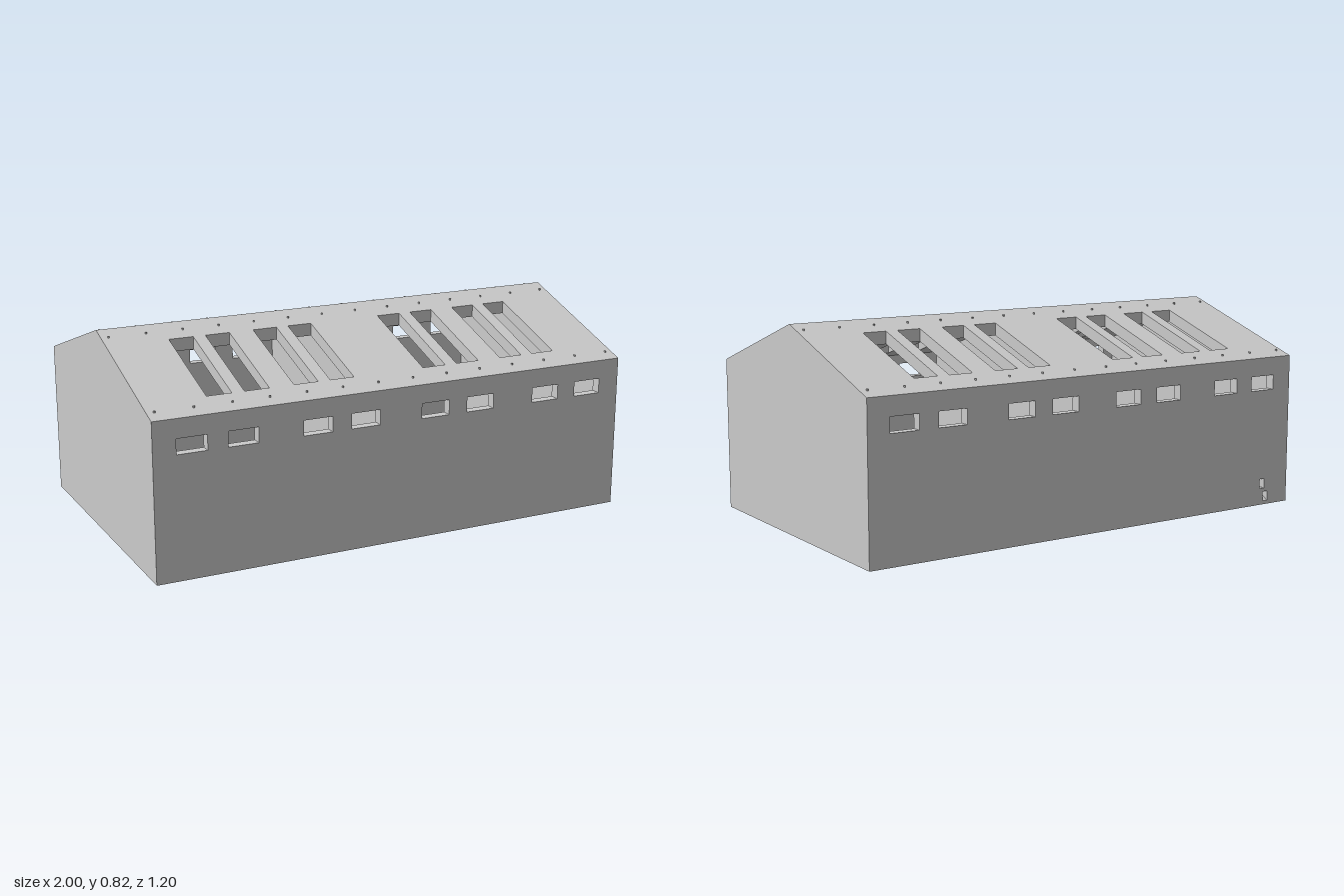
import * as THREE from 'three';

const HALF_X = 1, HALF_Z = 0.6, EAVES = 0.62, RIDGE = 0.82;
const WALL = 0.04, ROOF = 0.05;
const roofY = z => RIDGE - (RIDGE - EAVES) * Math.abs(z) / HALF_Z;
const clamp = THREE.MathUtils.clamp;

function polygon(points) {
  return new THREE.Shape(points.map(p => new THREE.Vector2(p[0], p[1])));
}

function rect(x0, y0, x1, y1) {
  return polygon([[x0, y0], [x1, y0], [x1, y1], [x0, y1]]);
}

// Panel with openings: outer corners lie on the shell, inner ones are mitred to the inside
function panel(shape, holes, place) {
  shape.holes = holes;
  const geo = new THREE.ExtrudeGeometry(shape, { depth: 1, bevelEnabled: false });
  const pos = geo.attributes.position;
  for (let i = 0; i < pos.count; i++) {
    let [x, y, z] = place(pos.getX(i), pos.getY(i));
    if (pos.getZ(i) < 0.5) {
      x = clamp(x, -HALF_X + WALL, HALF_X - WALL);
      z = clamp(z, -HALF_Z + WALL, HALF_Z - WALL);
      y = clamp(y, WALL, roofY(z) - ROOF);
    }
    pos.setXYZ(i, x, y, z);
  }
  geo.computeVertexNormals();
  return geo;
}

export function createModel() {
  const group = new THREE.Group();
  const grey = new THREE.MeshStandardMaterial({ color: 0xcccccc });
  grey.name = 'light grey';
  const add = (name, geo) => {
    const mesh = new THREE.Mesh(geo, grey);
    mesh.name = name;
    group.add(mesh);
    return mesh;
  };

  // Long walls with a row of small windows under the eaves
  const windows = () => [-0.85, -0.65, -0.35, -0.15, 0.15, 0.35, 0.65, 0.85]
    .map(x => rect(x - 0.06, 0.485, x + 0.06, 0.545));
  const wallShape = () => rect(-HALF_X, 0, HALF_X, EAVES);
  add('frontWall', panel(wallShape(), windows(), (u, v) => [u, v, HALF_Z]));

  // The back wall also has two small service openings near the floor
  const services = [rect(0.85, 0.07, 0.875, 0.11), rect(0.868, 0.015, 0.893, 0.055)];
  add('backWall', panel(wallShape(), [...windows(), ...services], (u, v) => [-u, v, -HALF_Z]));

  // Gable end walls
  const gable = () => polygon([[-HALF_Z, 0], [HALF_Z, 0], [HALF_Z, EAVES], [0, RIDGE], [-HALF_Z, EAVES]]);
  add('leftGable', panel(gable(), [], (u, v) => [HALF_X, v, -u]));
  add('rightGable', panel(gable(), [], (u, v) => [-HALF_X, v, u]));

  // Roof slopes with long skylight openings
  const skylightX = [-0.7, -0.55, -0.35, -0.2, 0.2, 0.35, 0.55, 0.7];
  for (const side of [1, -1]) {
    const holes = skylightX.map(x => rect(side * x - 0.05, -0.495, side * x + 0.05, -0.115));
    add(side > 0 ? 'frontRoof' : 'backRoof',
      panel(rect(-HALF_X, -HALF_Z, HALF_X, 0), holes,
        (u, v) => [side * u, roofY(v), -side * v]));
  }

  // Floor
  add('floor', panel(rect(-HALF_X, -HALF_Z, HALF_X, HALF_Z), [], (u, v) => [u, 0, v]));

  // Cross wall between the two halls
  const inZ = HALF_Z - WALL, top = roofY(inZ) - ROOF;
  const cross = polygon([[-inZ, WALL], [inZ, WALL], [inZ, top], [0, RIDGE - ROOF], [-inZ, top]]);
  const crossGeo = new THREE.ExtrudeGeometry(cross, { depth: WALL, bevelEnabled: false });
  crossGeo.translate(0, 0, -WALL / 2).rotateY(Math.PI / 2);
  add('crossWall', crossGeo);

  // Rows of small fixing pins along the eaves and the ridge
  const pinGeo = new THREE.CylinderGeometry(0.004, 0.004, 0.012, 8);
  for (const z of [-0.55, -0.06, 0.06, 0.55]) {
    for (let i = 0; i < 14; i++) {
      add('roofPin', pinGeo).position.set(-0.97 + i * 1.94 / 13, roofY(z), z);
    }
  }
  return group;
}
